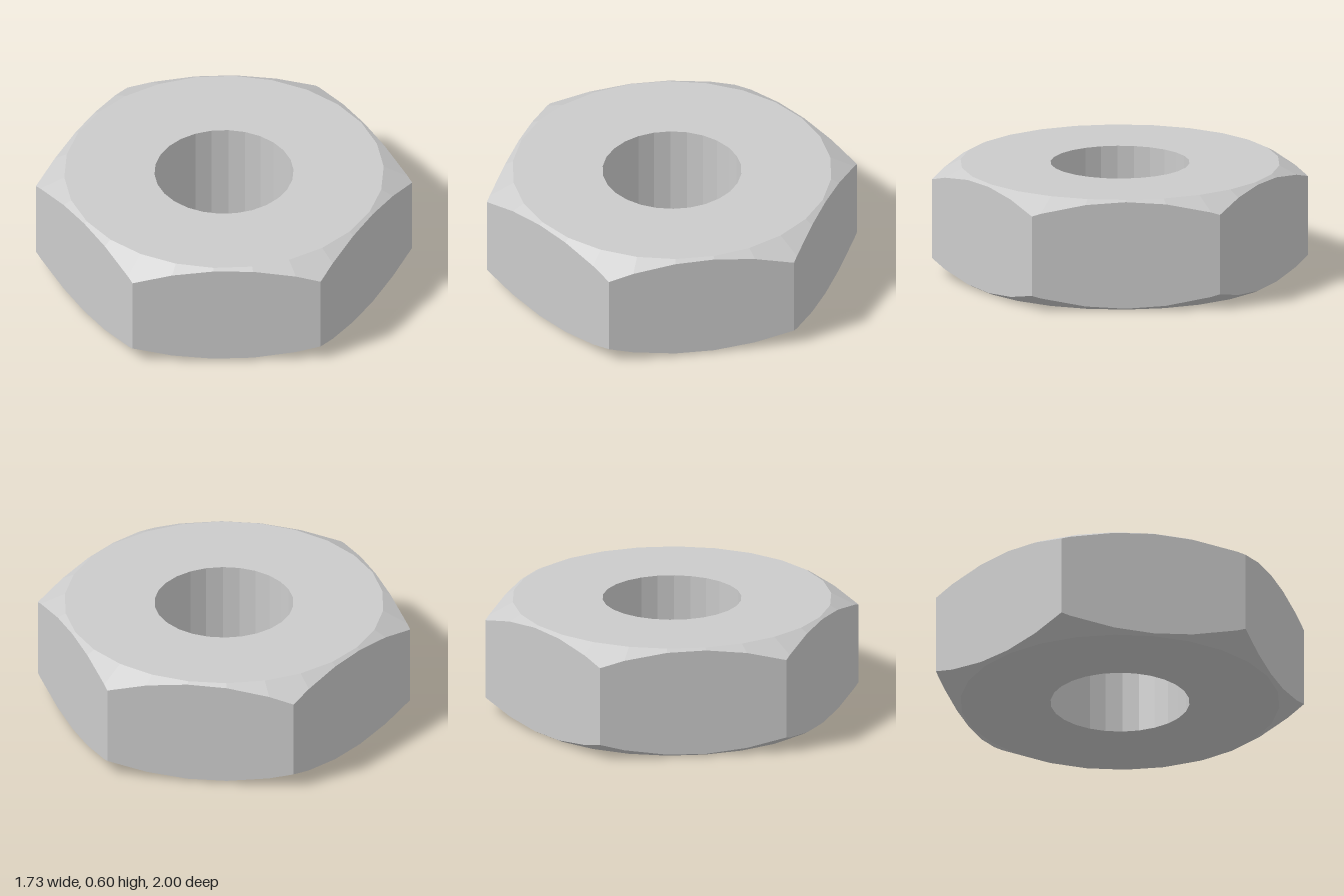
import * as THREE from 'three';

const HEIGHT = 0.6;
const SIDES = 26;            // facets of the bore and the chamfer cone
const BORE = 0.37;
const FLAT = 0.85;           // radius of the flat top and bottom faces
const SLOPE = 0.54;          // drop of the chamfer per unit of radius

// Radius of a unit polygon at angle t; a is the angle of one of its corners
function polygonRadius(t, n, a) {
  const step = (2 * Math.PI) / n;
  const local = (((t - a) % step) + step) % step - step / 2;
  return Math.cos(step / 2) / Math.cos(local);
}

// Cross-section [radius, y] at angle t (measured from +z towards +x)
function section(t) {
  const round = polygonRadius(t, SIDES, Math.PI / 2);
  const hex = polygonRadius(t, 6, 0);
  const drop = SLOPE * (hex / round - FLAT);
  return [
    [hex, drop], [hex, HEIGHT - drop],
    [FLAT * round, HEIGHT], [BORE * round, HEIGHT],
    [BORE * round, 0], [FLAT * round, 0],
  ].map(([r, y]) => [r * Math.sin(t), y, r * Math.cos(t)]);
}

export function createModel() {
  const nut = new THREE.Group();
  nut.name = 'hexNut';
  const material = new THREE.MeshStandardMaterial({ color: 0xcccccc, flatShading: true });

  // Cut at every hexagon corner and every facet corner
  const angles = [];
  for (let i = 0; i < 6; i++) angles.push((i * Math.PI) / 3);
  for (let i = 0; i < SIDES; i++) angles.push(((i + 0.5) * 2 * Math.PI) / SIDES);
  angles.sort((a, b) => a - b);
  const sections = angles.map(section);

  // One band of quads for each edge of the cross-section
  const names = ['hexSides', 'topChamfer', 'topFace', 'bore', 'bottomFace', 'bottomChamfer'];
  names.forEach((name, k) => {
    const next = (k + 1) % names.length;
    const positions = [];
    sections.forEach((s, i) => {
      const e = sections[(i + 1) % sections.length];
      positions.push(...s[k], ...e[k], ...e[next], ...s[k], ...e[next], ...s[next]);
    });
    const geometry = new THREE.BufferGeometry();
    geometry.setAttribute('position', new THREE.Float32BufferAttribute(positions, 3));
    geometry.computeVertexNormals();
    const band = new THREE.Mesh(geometry, material);
    band.name = name;
    nut.add(band);
  });

  return nut;
}
